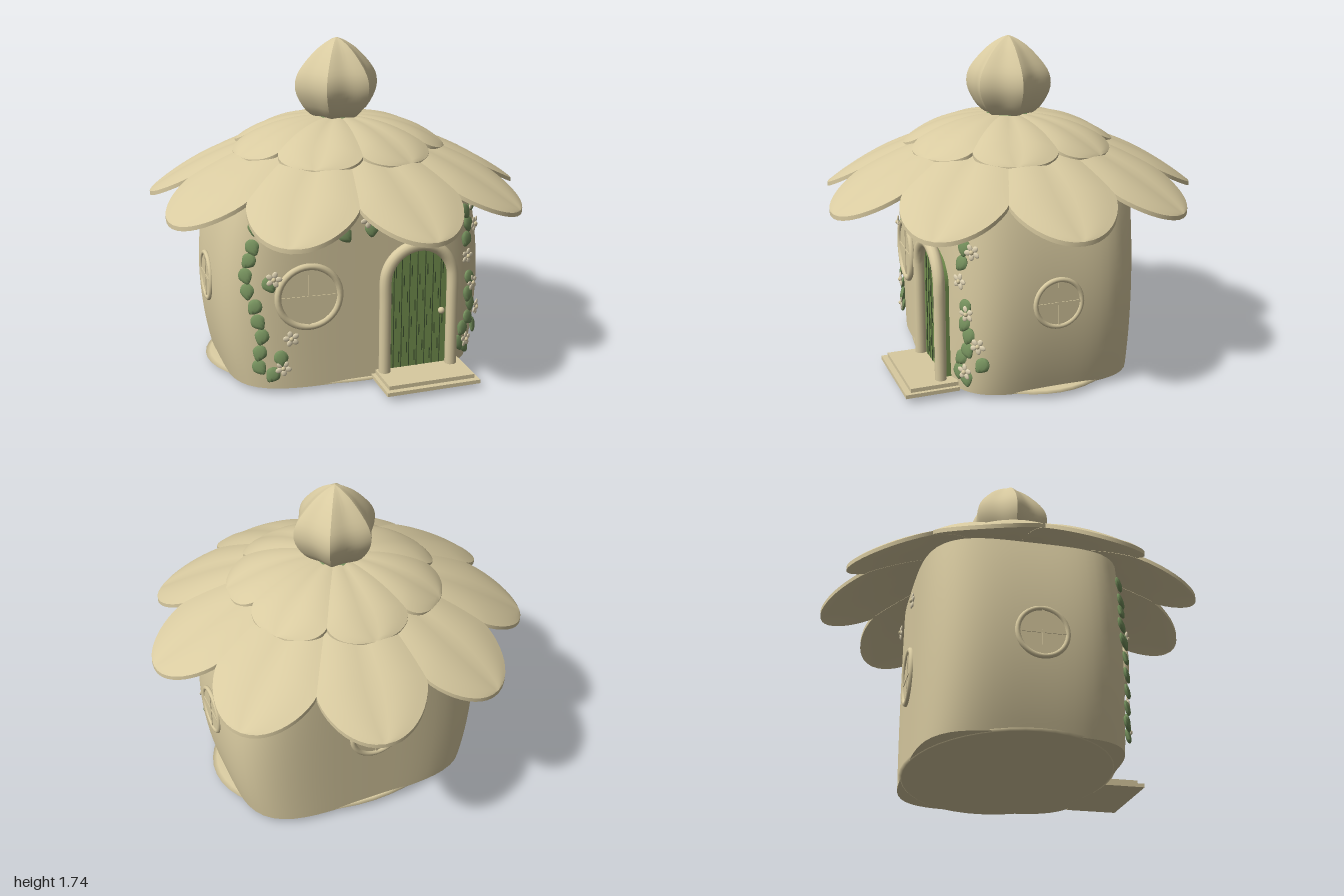
import * as THREE from 'three';
import { toCreasedNormals } from 'three/addons/utils/BufferGeometryUtils.js';

const paint = (name, color) => Object.assign(new THREE.MeshStandardMaterial({ color }), { name });
const CX = -0.03, CZ = -0.015, HALF_Z = 0.515;
const TAU = Math.PI * 2;

// Barrel half width at a height, and the rounded-rectangle front depth at x
const halfWidth = y => 0.725 - 0.27 * (y - 0.48) ** 2;
const depthAt = (x, y) => HALF_Z * Math.pow(Math.max(0.02, 1 - Math.abs((x - CX) / halfWidth(y)) ** 4), 0.25);

// Moves every vertex of a geometry by a rule, then keeps sharp edges sharp
function bend(geometry, rule, crease = 0.5) {
  const p = geometry.attributes.position, v = new THREE.Vector3();
  for (let i = 0; i < p.count; i++) {
    rule(v.fromBufferAttribute(p, i));
    p.setXYZ(i, v.x, v.y, v.z);
  }
  return toCreasedNormals(geometry, crease);
}

function add(parent, name, geometry, material, x = 0, y = 0, z = 0) {
  const mesh = new THREE.Mesh(geometry, material);
  mesh.name = name;
  mesh.position.set(x, y, z);
  parent.add(mesh);
  return mesh;
}

// Puts an object on the front (side 1) or back (side -1) wall, facing outward
function onWall(object, x, y, side = 1, lift = 0) {
  const e = 0.02;
  const slope = (depthAt(x + e, y) - depthAt(x - e, y)) / (2 * e);
  const a = Math.atan(-slope);
  object.rotation.order = 'YXZ';
  object.rotation.y = side > 0 ? a : Math.PI - a;
  object.position.set(x + Math.sin(a) * lift, y, CZ + side * (depthAt(x, y) + Math.cos(a) * lift));
}

// Roof petal: a thin slab draped on a surface of revolution, with a fold along the middle
function petalGeometry({ r0, r1, shoulder, spread, power, thick, fold, height }) {
  return bend(new THREE.BoxGeometry(2, 1, 1, 12, 1, 22), v => {
    const t = 1 - (1 - (v.z + 0.5)) ** 1.7;
    const a = r0 + (r1 - r0) * t;
    const k = Math.max(0, (a - shoulder) / (r1 - shoulder));
    const w = Math.min(a, shoulder) * spread * Math.sqrt(Math.max(0, 1 - k ** power));
    const s = v.x, low = v.y < 0;
    const x = s * w;
    const y = height(Math.hypot(x, a)) + fold * w * Math.sin(Math.PI * Math.abs(s)) - (low ? thick : 0);
    v.set(x, y, a);
  }, 0.3);
}

export function createModel() {
  const cream = paint('cream', 0xd8caa0);
  const blossom = paint('blossom', 0xe2d6b6);
  const leafGreen = paint('leaf green', 0x748f5c);
  const doorGreen = paint('door green', 0x74914f);
  const darkGreen = paint('dark green', 0x3f5230);

  const house = new THREE.Group();
  house.name = 'flowerCottage';

  // Walls: superellipse barrel, closed below and above
  const rows = 18;
  add(house, 'walls', bend(new THREE.PlaneGeometry(1, 1, 80, rows), v => {
    const row = Math.round((v.y + 0.5) * rows), angle = v.x * TAU;
    const t = Math.min(1, Math.max(0, (row - 1) / (rows - 2)));
    const y = 0.025 + 1.005 * t;
    const s = Math.sin(angle), c = Math.cos(angle);
    const r = (row === 0 || row === rows) ? 0 : 1 / Math.pow(s ** 4 + c ** 4, 0.25);
    v.set(CX + s * r * halfWidth(y), y, CZ + c * r * HALF_Z);
  }), cream);
  const base = add(house, 'groundPad', new THREE.SphereGeometry(1, 48, 12), cream, CX, 0.03, CZ);
  base.scale.set(0.735, 0.03, 0.54);

  // Roof: nine large petals under seven small ones
  const layers = [
    { name: 'outerPetal', count: 9, start: 90, r0: 0.12, r1: 1.01, shoulder: 0.74, spread: 0.375, power: 1.7,
      thick: 0.022, fold: 0.045, height: r => 1.28 - 0.358 * r * r },
    { name: 'innerPetal', count: 7, start: 126, r0: 0.03, r1: 0.57, shoulder: 0.43, spread: 0.5, power: 2.2,
      thick: 0.018, fold: 0.05, height: r => 1.335 - 0.165 * (r / 0.57) ** 2.5 },
  ];
  for (const layer of layers) {
    const geometry = petalGeometry(layer);
    for (let i = 0; i < layer.count; i++) {
      const petal = add(house, layer.name, geometry, cream, CX, 0, 0);
      petal.rotation.y = THREE.MathUtils.degToRad(layer.start + i * 360 / layer.count);
    }
  }

  // Bud on top: lathe-like profile with six sharp ribs
  const profile = new THREE.SplineCurve([
    [0.1, 1.315], [0.165, 1.36], [0.215, 1.44], [0.226, 1.51], [0.2, 1.58], [0.12, 1.67], [0.05, 1.72], [0, 1.74],
  ].map(p => new THREE.Vector2(...p)));
  add(house, 'bud', bend(new THREE.PlaneGeometry(1, 1, 72, 20), v => {
    const a = v.x * TAU + Math.PI / 2, p = profile.getPoint(v.y + 0.5);
    const r = Math.max(0, p.x) * (0.82 + 0.18 * (1 - Math.abs(Math.sin(3 * (a - Math.PI / 2)))));
    v.set(CX + Math.sin(a) * r, p.y, Math.cos(a) * r);
  }, 0.4), cream);
  add(house, 'budCollar', new THREE.CylinderGeometry(0.1, 0.13, 0.015, 12), leafGreen, CX, 1.335, 0);

  // Door: arched slab, plank gaps, frame, knob and two steps
  const door = new THREE.Group();
  door.name = 'door';
  house.add(door);
  const DX = 0.243, SPRING = 0.56, DR = 0.17;
  const arch = new THREE.Shape();
  arch.moveTo(-DR, 0.06);
  arch.lineTo(DR, 0.06);
  arch.absarc(0, SPRING, DR, 0, Math.PI);
  add(door, 'doorPanel', new THREE.ExtrudeGeometry(arch, { depth: 0.05, bevelEnabled: false, curveSegments: 20 }),
    doorGreen, DX, 0, 0.46);
  for (let i = -3; i <= 3; i++) {
    const x = i * 0.043, top = SPRING + Math.sqrt(DR * DR - x * x) - 0.02;
    add(door, 'plankGap', new THREE.BoxGeometry(0.004, top - 0.07, 0.004), darkGreen, DX + x, (top + 0.07) / 2, 0.511);
    for (let j = 0; j < 4; j++) {
      add(door, 'woodGrain', new THREE.BoxGeometry(0.005, 0.06, 0.004), darkGreen,
        DX + x + (j % 2 ? 0.012 : -0.012), 0.13 + j * 0.14 + (i & 1) * 0.05, 0.511);
    }
  }
  const FR = 0.185, path = [];
  for (let y = 0.06; y < 0.54; y += 0.08) path.push(new THREE.Vector3(-FR, y, 0));
  for (let i = 0; i <= 12; i++) {
    const a = Math.PI * (1 - i / 12);
    path.push(new THREE.Vector3(Math.cos(a) * FR, SPRING + Math.sin(a) * FR, 0));
  }
  for (let y = 0.46; y > 0.05; y -= 0.08) path.push(new THREE.Vector3(FR, y, 0));
  add(door, 'doorFrame', new THREE.TubeGeometry(new THREE.CatmullRomCurve3(path), 70, 0.031, 12), cream, DX, 0, 0.535);
  add(door, 'doorKnob', new THREE.SphereGeometry(0.018, 12, 10), cream, 0.372, 0.37, 0.53);
  add(door, 'lowerStep', new THREE.BoxGeometry(0.51, 0.02, 0.28), cream, 0.255, 0.04, 0.6);
  add(door, 'upperStep', new THREE.BoxGeometry(0.47, 0.022, 0.25), cream, 0.255, 0.06, 0.585);

  // Round windows with a pane and crossed bars
  function roundWindow(name, outer, tube) {
    const g = new THREE.Group();
    g.name = name;
    const r = outer - tube;
    add(g, 'ring', new THREE.TorusGeometry(r, tube, 10, 40), cream);
    add(g, 'pane', new THREE.CylinderGeometry(r, r, 0.008, 40), cream).rotation.x = Math.PI / 2;
    add(g, 'uprightBar', new THREE.BoxGeometry(0.012, 2 * r, 0.016), cream);
    add(g, 'crossBar', new THREE.BoxGeometry(2 * r, 0.012, 0.016), cream);
    house.add(g);
    return g;
  }
  onWall(roundWindow('frontWindow', 0.178, 0.018), -0.335, 0.52, 1, 0.003);
  onWall(roundWindow('backWindow', 0.155, 0.016), -0.04, 0.52, -1, 0.003);
  for (const side of [1, -1]) {
    const w = roundWindow('sideWindow', 0.135, 0.013);
    w.position.set(CX + side * 0.725, 0.51, 0);
    w.rotation.y = side * Math.PI / 2;
  }

  // Climbing leaves: domed, narrowing to a point
  const leafGeo = bend(new THREE.SphereGeometry(1, 12, 10), v => {
    const taper = v.y < 0 ? 1 + 0.45 * v.y : 1;
    v.set(v.x * taper * 0.038, v.y * 0.043, v.z * 0.013);
  }, 1);
  const leaves = [
    [-0.585, 0.89], [-0.6, 0.79], [-0.62, 0.72], [-0.635, 0.64], [-0.63, 0.56], [-0.6, 0.48], [-0.585, 0.4],
    [-0.57, 0.32], [-0.58, 0.23], [-0.58, 0.15], [-0.52, 0.11], [-0.48, 0.2], [-0.53, 0.6],
    [0.57, 0.9], [0.52, 0.87], [0.54, 0.8], [0.53, 0.72], [0.56, 0.5], [0.55, 0.41], [0.57, 0.35],
    [0.56, 0.27], [0.52, 0.22], [0.5, 0.14], [0.54, 0.11], [0.61, 0.2],
    [-0.15, 0.83], [-0.01, 0.85], [0.13, 0.86],
  ];
  leaves.forEach(([x, y], i) => {
    const leaf = add(house, 'leaf', leafGeo, leafGreen);
    onWall(leaf, x, y, 1, 0.014);
    leaf.rotation.z = Math.sin(i * 2.3) * 0.7;
    leaf.rotation.x = -0.2;
  });

  // Five-petalled blossoms on the front and back walls
  const petalGeo = new THREE.SphereGeometry(1, 10, 8).scale(0.014, 0.018, 0.006);
  const heartGeo = new THREE.SphereGeometry(0.012, 10, 8);
  const flowers = [
    [-0.185, 0.88], [-0.03, 0.9], [-0.51, 0.63], [-0.43, 0.31], [-0.47, 0.15], [0.56, 0.91], [0.58, 0.79],
    [0.53, 0.63], [0.57, 0.47], [0.61, 0.31], [0.54, 0.15], [0.18, 0.87, -1], [-0.24, 0.86, -1],
  ];
  flowers.forEach(([x, y, side = 1], i) => {
    const flower = new THREE.Group();
    flower.name = 'flower';
    add(flower, 'flowerHeart', heartGeo, cream, 0, 0, 0.004);
    for (let k = 0; k < 5; k++) {
      const a = k * TAU / 5;
      add(flower, 'flowerPetal', petalGeo, blossom, -Math.sin(a) * 0.025, Math.cos(a) * 0.025, 0).rotation.z = a;
    }
    onWall(flower, x, y, side, 0.024);
    flower.rotation.z = i * 0.5;
    house.add(flower);
  });

  return house;
}
